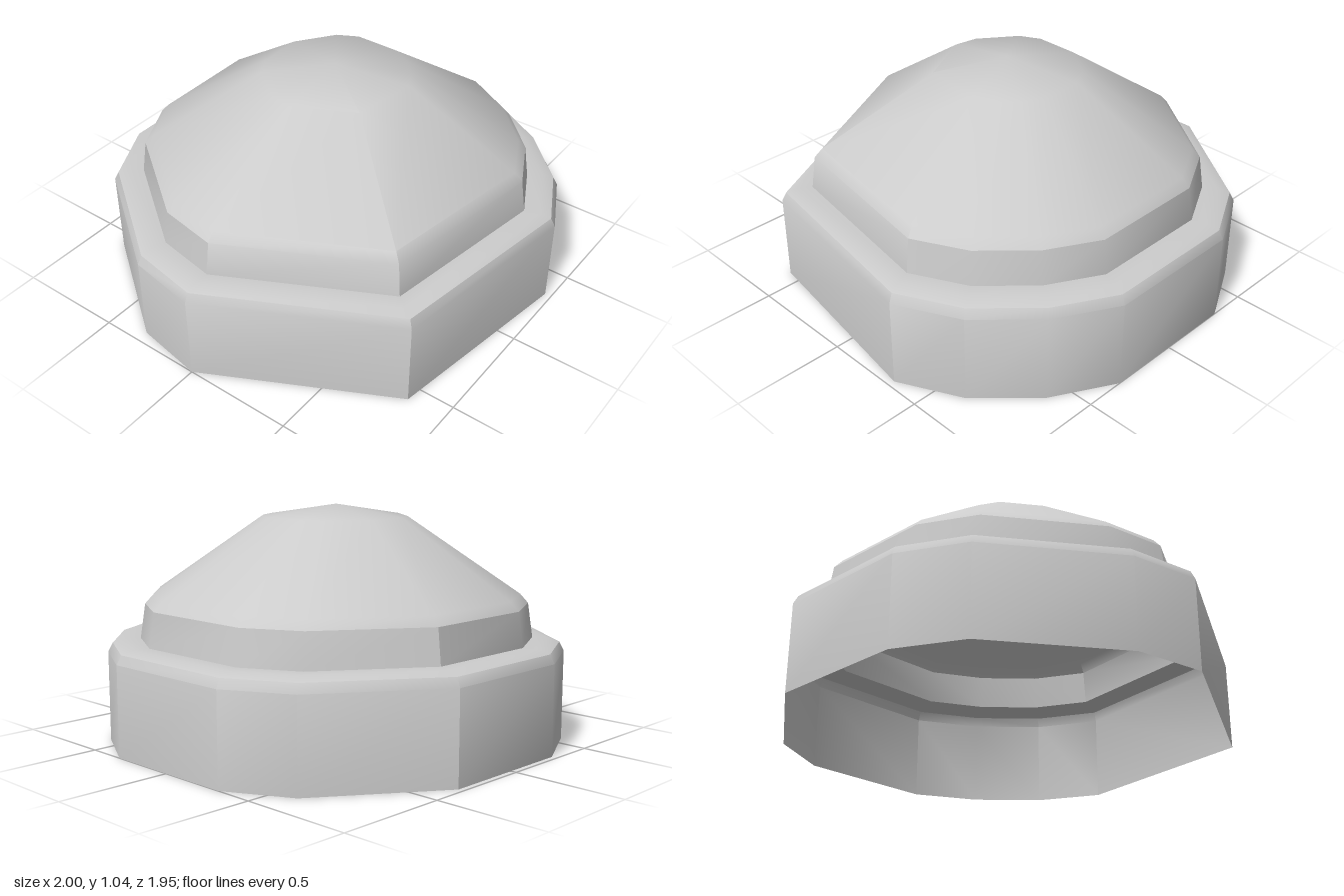
import * as THREE from 'three';
import { toCreasedNormals } from 'three/addons/utils/BufferGeometryUtils.js';

// Irregular twelve-sided footprint (x, z), clockwise seen from above
const OUTLINE = [
  [-1, 0], [-0.945, -0.32], [-0.575, -0.83], [-0.29, -0.975], [0.34, -0.975], [0.85, -0.61],
  [1, -0.325], [1, 0.32], [0.85, 0.595], [0.62, 0.83], [0.34, 0.97], [-0.575, 0.825],
];

// Stacks scaled copies of the footprint; each ring is [scale, y, x shift], scale 0 is a point
function loft(rings) {
  const pos = [];
  const at = ([s, y, dx = 0], j) => {
    const [x, z] = OUTLINE[j % OUTLINE.length];
    return [x * s + dx, y, z * s];
  };
  for (let i = 0; i < rings.length - 1; i++) {
    for (let j = 0; j < OUTLINE.length; j++) {
      const a = at(rings[i], j), b = at(rings[i], j + 1);
      const c = at(rings[i + 1], j), d = at(rings[i + 1], j + 1);
      pos.push(...a, ...c, ...b);
      if (rings[i + 1][0] > 0) pos.push(...b, ...c, ...d);
    }
  }
  const geo = new THREE.BufferGeometry();
  geo.setAttribute('position', new THREE.Float32BufferAttribute(pos, 3));
  return toCreasedNormals(geo, THREE.MathUtils.degToRad(32));
}

export function createModel() {
  const group = new THREE.Group();
  const material = new THREE.MeshStandardMaterial({ color: 0xcccccc, side: THREE.DoubleSide });
  const add = (name, rings) => {
    const mesh = new THREE.Mesh(loft(rings), material);
    mesh.name = name;
    group.add(mesh);
  };

  // Upright wall, open underneath, with a bevelled rim and flat ledge
  add('baseWall', [[1, 0], [1, 0.4], [0.98, 0.44], [0.93, 0.457], [0.862, 0.457]]);

  // Short leaning wall, rounded shoulder, sloping roof and shallow peak
  add('domeRoof', [
    [0.862, 0.457], [0.84, 0.61], [0.805, 0.65], [0.32, 0.988, 0.02], [0, 1.04, 0.02],
  ]);

  return group;
}
